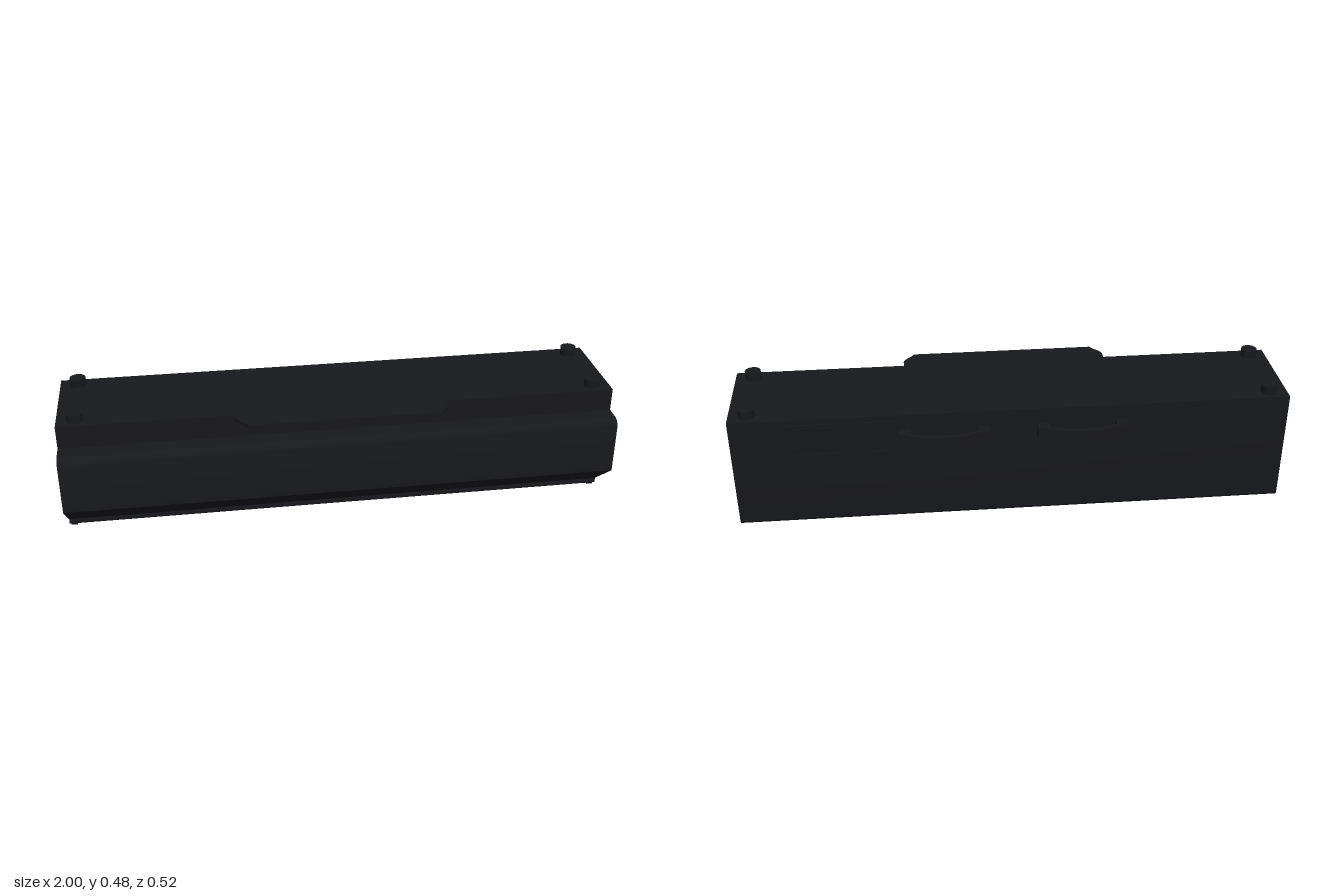
import * as THREE from 'three';
import { toCreasedNormals } from 'three/addons/utils/BufferGeometryUtils.js';

export function createModel() {
  const model = new THREE.Group();
  const mat = new THREE.MeshStandardMaterial({ color: 0x17181c });

  function add(name, geometry, x = 0, y = 0, z = 0) {
    const mesh = new THREE.Mesh(geometry, mat);
    mesh.name = name;
    mesh.position.set(x, y, z);
    model.add(mesh);
    return mesh;
  }

  // Extrudes a plan drawn in (x, z) so that its top lies at y = 0.
  function plate(shape, height) {
    const geo = new THREE.ExtrudeGeometry(shape, { depth: height, bevelEnabled: false, curveSegments: 8 });
    return toCreasedNormals(geo.rotateX(Math.PI / 2), 0.5);
  }

  // Long housing: side profile in (z, y), extruded along x
  const p = new THREE.Shape();
  p.moveTo(-0.17, 0.012);
  p.lineTo(0.115, 0.012);
  p.quadraticCurveTo(0.12, 0.012, 0.12, 0.018);
  p.lineTo(0.118, 0.032);
  p.lineTo(0.26, 0.15);
  p.lineTo(0.26, 0.33);
  p.quadraticCurveTo(0.256, 0.357, 0.23, 0.36);
  p.lineTo(0.175, 0.36);
  p.lineTo(0.175, 0.445);
  p.lineTo(-0.191, 0.445);
  p.lineTo(-0.191, 0.035);
  p.quadraticCurveTo(-0.19, 0.014, -0.17, 0.012);
  const housing = new THREE.ExtrudeGeometry(p, { depth: 2, bevelEnabled: false, curveSegments: 8 });
  housing.translate(0, 0, -1).rotateY(-Math.PI / 2);
  add('housing', toCreasedNormals(housing, 0.5));

  // Overhanging front ledge with rounded corners
  const ledge = new THREE.Shape();
  ledge.moveTo(-0.38, 0.165);
  ledge.lineTo(0.38, 0.165);
  ledge.lineTo(0.38, 0.2);
  ledge.bezierCurveTo(0.375, 0.23, 0.35, 0.235, 0.34, 0.26);
  ledge.lineTo(-0.34, 0.26);
  ledge.bezierCurveTo(-0.35, 0.235, -0.375, 0.23, -0.38, 0.2);
  add('frontLedge', plate(ledge, 0.014), 0, 0.447, 0);

  // Back handles: a bent strap on two mounting pads
  const h = new THREE.Shape([
    [-0.163, -0.19], [-0.163, -0.223], [-0.055, -0.257], [0.055, -0.257],
    [0.163, -0.223], [0.163, -0.19], [0.12, -0.19], [0.12, -0.222],
    [0.05, -0.244], [-0.05, -0.244], [-0.12, -0.222], [-0.12, -0.19],
  ].map(([x, z]) => new THREE.Vector2(x, z)));
  const handle = plate(h, 0.048);

  for (const side of [-1, 1]) {
    add('backHandle', handle, side * 0.247, 0.385, 0);

    // Top pegs and small feet at each end
    for (const z of [0.132, -0.146])
      add('topPeg', new THREE.CylinderGeometry(0.029, 0.029, 0.035, 24), side * 0.935, 0.458, z);
    for (const z of [0.08, -0.128])
      add('foot', new THREE.BoxGeometry(0.022, 0.014, 0.053), side * 0.984, 0.007, z);
  }

  // Framed access panel on the back
  const frame = new THREE.Shape();
  frame.moveTo(0.42, 0.295).lineTo(0.81, 0.295).lineTo(0.81, 0.425).lineTo(0.42, 0.425);
  const hole = new THREE.Path();
  hole.moveTo(0.445, 0.305).lineTo(0.445, 0.415).lineTo(0.8, 0.415).lineTo(0.8, 0.305);
  frame.holes.push(hole);
  add('panelFrame', new THREE.ExtrudeGeometry(frame, { depth: 0.008, bevelEnabled: false }), 0, 0, -0.197);
  add('panelDoor', new THREE.BoxGeometry(0.34, 0.1, 0.004), 0.623, 0.36, -0.1915);

  return model;
}
